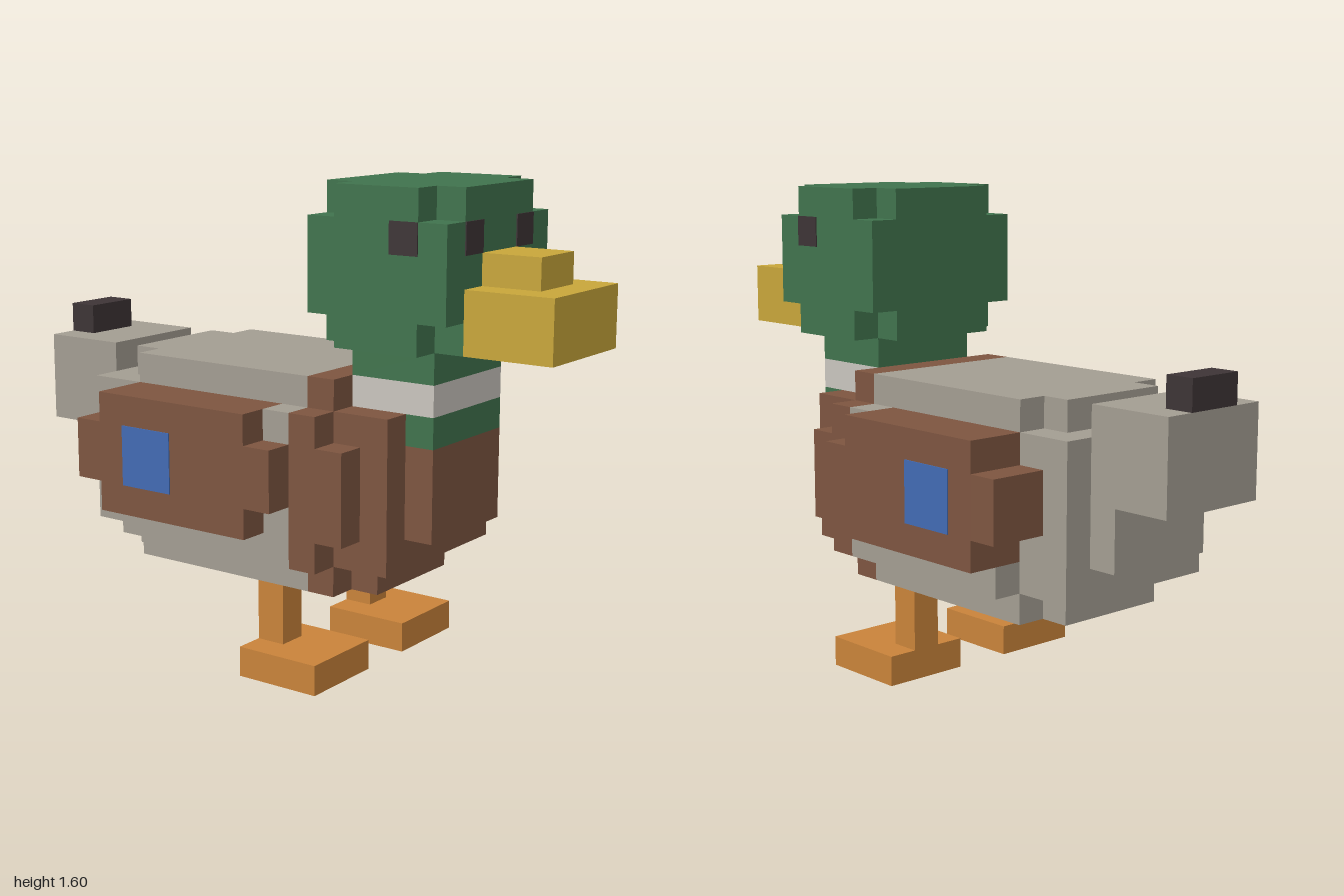
import * as THREE from 'three';

const mat = (name, color) => {
  const m = new THREE.MeshStandardMaterial({ color });
  m.name = name;
  return m;
};

export function createModel() {
  const green = mat('head green', 0x40734d);
  const brown = mat('breast brown', 0x7d5540);
  const grey = mat('body grey', 0xa39d92);
  const gold = mat('bill yellow', 0xc8a63a);
  const orange = mat('leg orange', 0xc9833a);
  const white = mat('collar white', 0xc9c5be);
  const dark = mat('dark', 0x3d3436);
  const blue = mat('wing blue', 0x426bb3);

  const duck = new THREE.Group();
  duck.name = 'duck';

  const part = (name) => {
    const g = new THREE.Group();
    g.name = name;
    duck.add(g);
    return g;
  };

  // Block given by its limits on each axis
  const block = (parent, name, material, x0, x1, y0, y1, z0, z1) => {
    const mesh = new THREE.Mesh(new THREE.BoxGeometry(x1 - x0, y1 - y0, z1 - z0), material);
    mesh.position.set((x0 + x1) / 2, (y0 + y1) / 2, (z0 + z1) / 2);
    mesh.name = name;
    parent.add(mesh);
  };
  // Block centred on x, given by its half width
  const mid = (parent, name, material, w, ...yz) => block(parent, name, material, -w, w, ...yz);
  // Two mirrored blocks
  const pair = (parent, name, material, x0, x1, ...yz) => {
    block(parent, name + 'Left', material, x0, x1, ...yz);
    block(parent, name + 'Right', material, -x1, -x0, ...yz);
  };

  // Head: a block without its eight corners
  const head = part('head');
  mid(head, 'headCore', green, 0.2, 1.1, 1.6, 0.2, 0.7);
  mid(head, 'headMiddle', green, 0.3, 1.2, 1.5, 0.2, 0.7);
  mid(head, 'headSides', green, 0.3, 1.1, 1.6, 0.3, 0.6);
  pair(head, 'frontEye', dark, 0.1, 0.2, 1.4, 1.5, 0.7, 0.704);
  pair(head, 'sideEye', dark, 0.3, 0.304, 1.4, 1.5, 0.5, 0.6);

  // Bill
  const bill = part('bill');
  mid(bill, 'lowerBill', gold, 0.2, 1.1, 1.3, 0.7, 1.0);
  mid(bill, 'upperBill', gold, 0.1, 1.3, 1.4, 0.7, 0.9);

  // Neck with collar
  const neck = part('neck');
  mid(neck, 'upperNeck', green, 0.2, 1.0, 1.1, 0.3, 0.6);
  mid(neck, 'collar', white, 0.2, 0.9, 1.0, 0.3, 0.6);
  mid(neck, 'neckBase', green, 0.2, 0.8, 0.9, 0.5, 0.6);

  // Breast, stepped outward from the front
  const breast = part('breast');
  mid(breast, 'breastFront', brown, 0.2, 0.5, 0.8, 0.5, 0.6);
  mid(breast, 'breastMiddle', brown, 0.3, 0.4, 0.9, 0.2, 0.5);
  mid(breast, 'breastTop', brown, 0.3, 0.9, 1.0, 0.2, 0.3);
  mid(breast, 'breastBottomFront', brown, 0.2, 0.3, 0.4, 0.3, 0.4);
  mid(breast, 'breastBottom', brown, 0.3, 0.3, 0.4, 0.2, 0.3);
  pair(breast, 'shoulderFront', brown, 0.3, 0.4, 0.5, 0.8, 0.3, 0.4);
  pair(breast, 'shoulder', brown, 0.3, 0.4, 0.4, 0.9, 0.2, 0.3);

  // Body
  const body = part('body');
  mid(body, 'trunk', grey, 0.3, 0.4, 0.9, -0.7, 0.2);
  mid(body, 'back', grey, 0.3, 0.9, 1.0, -0.5, 0.2);
  mid(body, 'backEnd', grey, 0.2, 0.9, 1.0, -0.6, -0.5);
  mid(body, 'belly', grey, 0.3, 0.3, 0.4, -0.5, 0.2);
  mid(body, 'bellyEnd', grey, 0.2, 0.3, 0.4, -0.6, -0.5);
  pair(body, 'flank', grey, 0.3, 0.4, 0.4, 0.5, -0.5, 0.2);
  pair(body, 'flankFront', grey, 0.3, 0.4, 0.5, 0.9, 0.1, 0.2);

  // Tail
  const tail = part('tail');
  mid(tail, 'tailBase', grey, 0.2, 0.5, 1.0, -0.8, -0.7);
  mid(tail, 'tailEnd', grey, 0.2, 0.7, 1.0, -1.0, -0.8);
  mid(tail, 'tailCurl', dark, 0.1, 1.0, 1.1, -1.0, -0.9);

  // Wings
  const wings = part('wings');
  pair(wings, 'wing', brown, 0.3, 0.5, 0.5, 0.9, -0.5, 0.1);
  pair(wings, 'wingFront', brown, 0.4, 0.5, 0.6, 0.8, 0.1, 0.2);
  pair(wings, 'wingTip', brown, 0.3, 0.5, 0.6, 0.8, -0.6, -0.5);
  pair(wings, 'wingPatch', blue, 0.5, 0.504, 0.6, 0.8, -0.4, -0.2);

  // Legs and feet
  const legs = part('legs');
  pair(legs, 'leg', orange, 0.2, 0.3, 0.1, 0.3, 0, 0.1);
  pair(legs, 'foot', orange, 0.1, 0.4, 0, 0.1, 0, 0.3);

  return duck;
}
